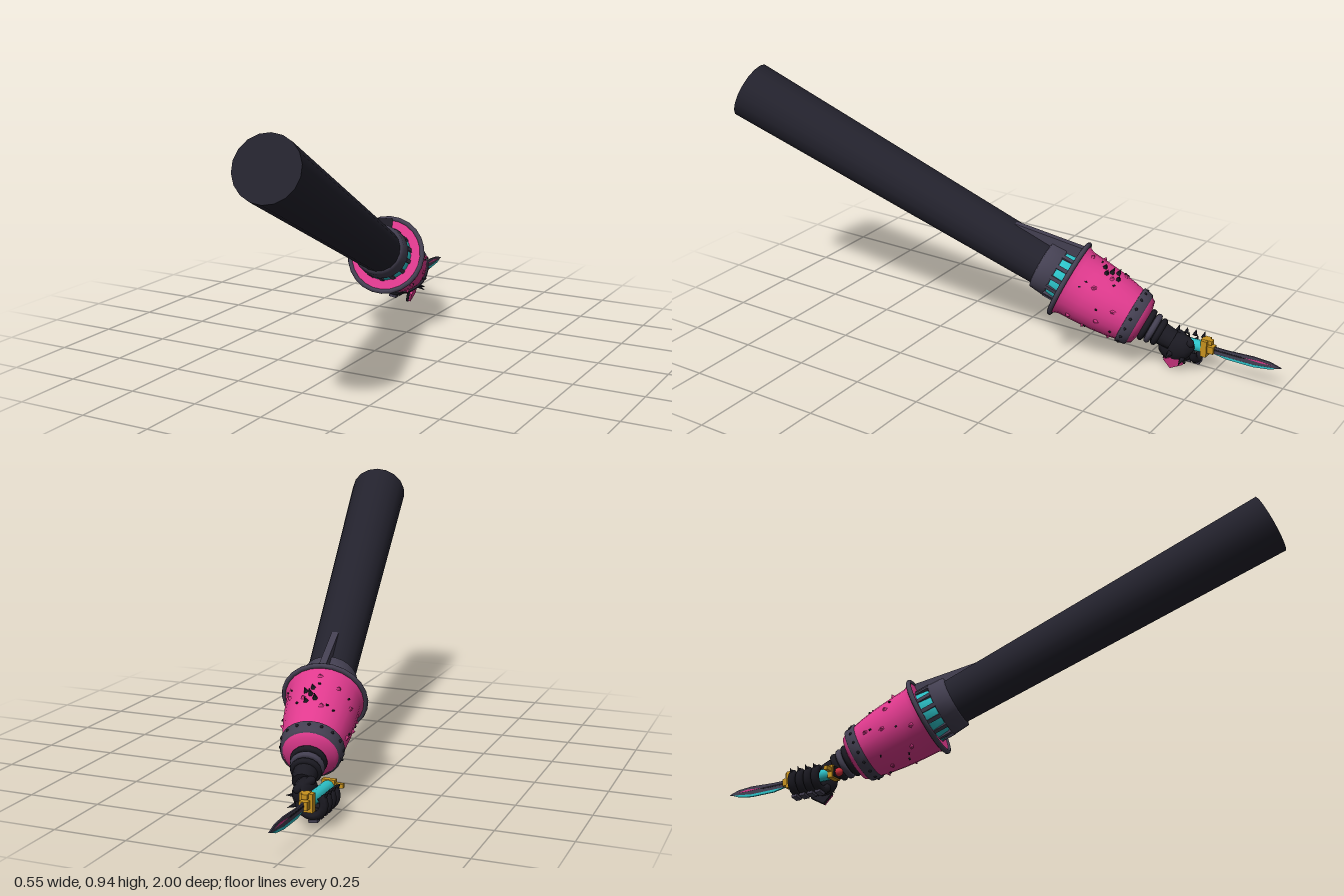
import * as THREE from 'three';

const mat = (name, color, side = THREE.FrontSide) => {
  const m = new THREE.MeshStandardMaterial({ color, side });
  m.name = name;
  return m;
};

export function createModel() {
  const cloth = mat('dark cloth', 0x23222d);
  const black = mat('black leather', 0x1b1a22);
  const pink = mat('pink', 0xe03a8e, THREE.DoubleSide);
  const grey = mat('grey metal', 0x444052, THREE.DoubleSide);
  const cyan = mat('cyan', 0x2cc2c8);
  const gold = mat('gold', 0xc8921e);
  const red = mat('red', 0xd52f3c);

  const root = new THREE.Group();
  root.name = 'armWithKnife';
  const add = (parent, name, geo, m, pos = [0, 0, 0], rot = [0, 0, 0], scale = [1, 1, 1]) => {
    const mesh = new THREE.Mesh(geo, m);
    mesh.name = name;
    mesh.position.set(...pos);
    mesh.rotation.set(...rot);
    mesh.scale.set(...scale);
    parent.add(mesh);
    return mesh;
  };
  const lathe = (pts, n = 24) => new THREE.LatheGeometry(pts.map(p => new THREE.Vector2(...p)), n);

  // Arm frame: y runs from the shoulder end to the wrist, z is its upper side
  const arm = new THREE.Group();
  arm.name = 'arm';
  const axis = new THREE.Vector3(-0.19, -0.41, -0.892).normalize();
  const up = new THREE.Vector3(0, 1, 0).addScaledVector(axis, -axis.y).normalize();
  const side = new THREE.Vector3().crossVectors(axis, up);
  arm.quaternion.setFromRotationMatrix(new THREE.Matrix4().makeBasis(side, axis, up));
  arm.position.set(0.17, 0.835, 0.955);
  root.add(arm);

  // Long tapering sleeve
  add(arm, 'sleeve', new THREE.CylinderGeometry(0.08, 0.106, 1.34, 18), cloth, [0, 0.67, 0]);

  // Collar, cyan ring and its dark teeth
  add(arm, 'collar', lathe([[0.078, 1.235], [0.094, 1.24], [0.098, 1.295], [0.08, 1.3]]), grey);
  add(arm, 'cyanRing', lathe([[0.07, 1.295], [0.09, 1.3], [0.096, 1.345], [0.08, 1.352]]), cyan);
  for (let i = 0; i < 14; i++) {
    const a = i / 14 * Math.PI * 2;
    add(arm, 'ringTooth', new THREE.BoxGeometry(0.014, 0.05, 0.012), grey,
      [Math.sin(a) * 0.093, 1.32, Math.cos(a) * 0.093], [0, a, 0]);
  }

  // Fin on the upper side, rising to the cuff rim
  const fin = new THREE.Shape([[0.07, 1.09], [0.085, 1.09], [0.138, 1.35], [0.07, 1.35]]
    .map(p => new THREE.Vector2(...p)));
  add(arm, 'fin', new THREE.ExtrudeGeometry(fin, { depth: 0.024, bevelEnabled: false }), grey,
    [-0.012, 0, 0], [0, -Math.PI / 2, 0]).position.x = 0.012;

  // Cuff with front face, rim and wrist band
  const cuffProfile = [[0.135, 1.35], [0.124, 1.375], [0.121, 1.43], [0.115, 1.5], [0.106, 1.56], [0.095, 1.61]];
  add(arm, 'cuff', lathe(cuffProfile), pink);
  add(arm, 'cuffFace', new THREE.RingGeometry(0.07, 0.138, 24), pink, [0, 1.345, 0], [Math.PI / 2, 0, 0]);
  add(arm, 'cuffRim', new THREE.TorusGeometry(0.138, 0.009, 8, 24), grey, [0, 1.348, 0], [Math.PI / 2, 0, 0]);
  add(arm, 'cuffBand', lathe([[0.09, 1.588], [0.106, 1.592], [0.099, 1.628], [0.085, 1.634]]), grey);
  add(arm, 'cuffEnd', lathe([[0.095, 1.625], [0.083, 1.645], [0.045, 1.655]]), pink);

  // Radius of the cuff at a given distance along the arm
  const cuffRadius = t => {
    for (let i = 1; i < cuffProfile.length; i++) {
      const [r0, t0] = cuffProfile[i - 1], [r1, t1] = cuffProfile[i];
      if (t <= t1) return r0 + (r1 - r0) * (t - t0) / (t1 - t0);
    }
    return 0.095;
  };
  const onCuff = (name, geo, m, a, t, lift, scale) => {
    const r = cuffRadius(t) + lift;
    const mesh = add(arm, name, geo, m, [Math.sin(a) * r, t, Math.cos(a) * r], [0, 0, 0], scale);
    mesh.quaternion.setFromUnitVectors(new THREE.Vector3(0, 1, 0), new THREE.Vector3(Math.sin(a), 0, Math.cos(a)));
  };

  // Pink lumps, dark specks and band studs
  const lump = new THREE.ConeGeometry(0.014, 0.014, 5);
  const speck = new THREE.BoxGeometry(0.008, 0.006, 0.005);
  const stud = new THREE.SphereGeometry(0.006, 6, 4);
  for (let i = 0; i < 16; i++) {
    const a = i * 2.4;
    onCuff('cuffLump', lump, pink, a, 1.385 + (i * 7 % 16) * 0.012, 0.003, [1, 1, 0.7]);
    onCuff('cuffSpeck', speck, black, a + 1.1, 1.40 + (i * 5 % 16) * 0.011, 0.001);
    onCuff('bandStud', stud, black, i / 16 * Math.PI * 2, 1.605, 0.006);
  }
  // Cluster of dark thorns on the upper side
  [[0.15, 1.47, 0.03], [0.3, 1.455, 0.024], [0.0, 1.49, 0.026], [0.25, 1.5, 0.022], [0.12, 1.44, 0.02]].forEach(([a, t, h]) =>
    onCuff('cuffThorn', new THREE.ConeGeometry(0.01, h, 5), black, a, t, h / 2 - 0.003));

  // Ribbed wrist
  add(arm, 'wrist', new THREE.CylinderGeometry(0.036, 0.048, 0.13, 14), black, [0, 1.7, 0]);
  [[0.05, 1.662], [0.046, 1.686], [0.041, 1.71]].forEach(([r, t], i) =>
    add(arm, 'wristRing', new THREE.TorusGeometry(r, 0.011, 8, 18), i === 1 ? grey : black, [0, t, 0], [Math.PI / 2, 0, 0]));

  // Palm and fingers closed around the handle
  const hand = new THREE.Group();
  hand.name = 'hand';
  root.add(hand);
  add(hand, 'palm', new THREE.SphereGeometry(1, 10, 8), black, [-0.178, 0.083, -0.628], [0.4, 0, 0], [0.036, 0.052, 0.07]);
  const finger = new THREE.TorusGeometry(0.041, 0.015, 7, 12, 3.9);
  for (let i = 0; i < 4; i++) {
    const z = -0.59 - i * 0.033;
    add(hand, 'finger', finger, black, [-0.224, 0.075, z], [0, 0, 2.45]);
    add(hand, 'knuckle', new THREE.ConeGeometry(0.009, 0.024, 5), black, [-0.272, 0.105, z], [0, 0, 0.7]);
    add(hand, 'fingerPlate', new THREE.BoxGeometry(0.03, 0.01, 0.022), grey, [-0.232, 0.02, z], [0, 0, -0.15]);
  }
  add(hand, 'thumb', new THREE.CapsuleGeometry(0.015, 0.06, 4, 8), black, [-0.185, 0.118, -0.655], [1.3, 0, 0.4]);
  add(hand, 'handPlate', new THREE.BoxGeometry(0.014, 0.044, 0.055), pink, [-0.167, 0.03, -0.625], [0.5, 0, -0.35]);
  add(hand, 'handPlateEdge', new THREE.BoxGeometry(0.01, 0.05, 0.064), black, [-0.173, 0.032, -0.625], [0.5, 0, -0.35]);
  add(hand, 'handSpike', new THREE.ConeGeometry(0.012, 0.045, 5), black, [-0.128, 0.066, -0.62], [0, 0, -1.7]);
  add(hand, 'handSpike', new THREE.ConeGeometry(0.01, 0.04, 5), black, [-0.145, 0.045, -0.66], [0, 0, -2]);

  // Knife: handle, pommel with gem, guard
  const knife = new THREE.Group();
  knife.name = 'knife';
  knife.position.set(-0.222, 0.085, 0);
  root.add(knife);
  add(knife, 'handle', new THREE.CylinderGeometry(0.021, 0.021, 0.18, 10), cyan, [0, 0, -0.63], [Math.PI / 2, 0, 0]);
  add(knife, 'pommel', new THREE.BoxGeometry(0.045, 0.045, 0.02), gold, [0, 0, -0.542]);
  add(knife, 'pommelInset', new THREE.BoxGeometry(0.034, 0.036, 0.008), black, [0, 0, -0.531]);
  add(knife, 'pommelArm', new THREE.BoxGeometry(0.03, 0.014, 0.014), gold, [-0.034, 0.005, -0.542]);
  add(knife, 'gem', new THREE.SphereGeometry(0.015, 10, 8), red, [0, 0, -0.52]);
  add(knife, 'guard', new THREE.BoxGeometry(0.045, 0.06, 0.022), gold, [0, 0.003, -0.72]);
  add(knife, 'guardTip', new THREE.BoxGeometry(0.02, 0.016, 0.04), gold, [0, 0.026, -0.725]);
  add(knife, 'guardTip', new THREE.BoxGeometry(0.028, 0.026, 0.03), gold, [0, 0, -0.738]);

  // Leaf-shaped blade with cyan edge and pink streak; shape x runs toward the tip
  const plate = (name, pts, depth, m) => {
    const s = new THREE.Shape(pts.map(p => new THREE.Vector2(...p)));
    add(knife, name, new THREE.ExtrudeGeometry(s, { depth, bevelEnabled: false }), m,
      [-depth / 2, 0, 0], [0, Math.PI / 2, 0]);
  };
  plate('blade', [[0.73, -0.013], [0.8, -0.017], [0.9, -0.017], [0.96, -0.01], [1.0, 0],
    [0.96, 0.012], [0.9, 0.016], [0.8, 0.011], [0.73, 0.012]], 0.005, grey);
  plate('bladeEdge', [[0.75, -0.014], [0.8, -0.023], [0.9, -0.023], [0.96, -0.014], [0.985, -0.004],
    [0.95, -0.008], [0.9, -0.014], [0.8, -0.014]], 0.006, cyan);
  plate('bladeStreak', [[0.86, 0.002], [0.92, 0], [0.965, 0.002], [0.92, 0.007]], 0.0065, pink);
  plate('bladeGroove', [[0.74, -0.003], [0.85, -0.003], [0.87, 0], [0.85, 0.003], [0.74, 0.003]], 0.0065, black);

  return root;
}
